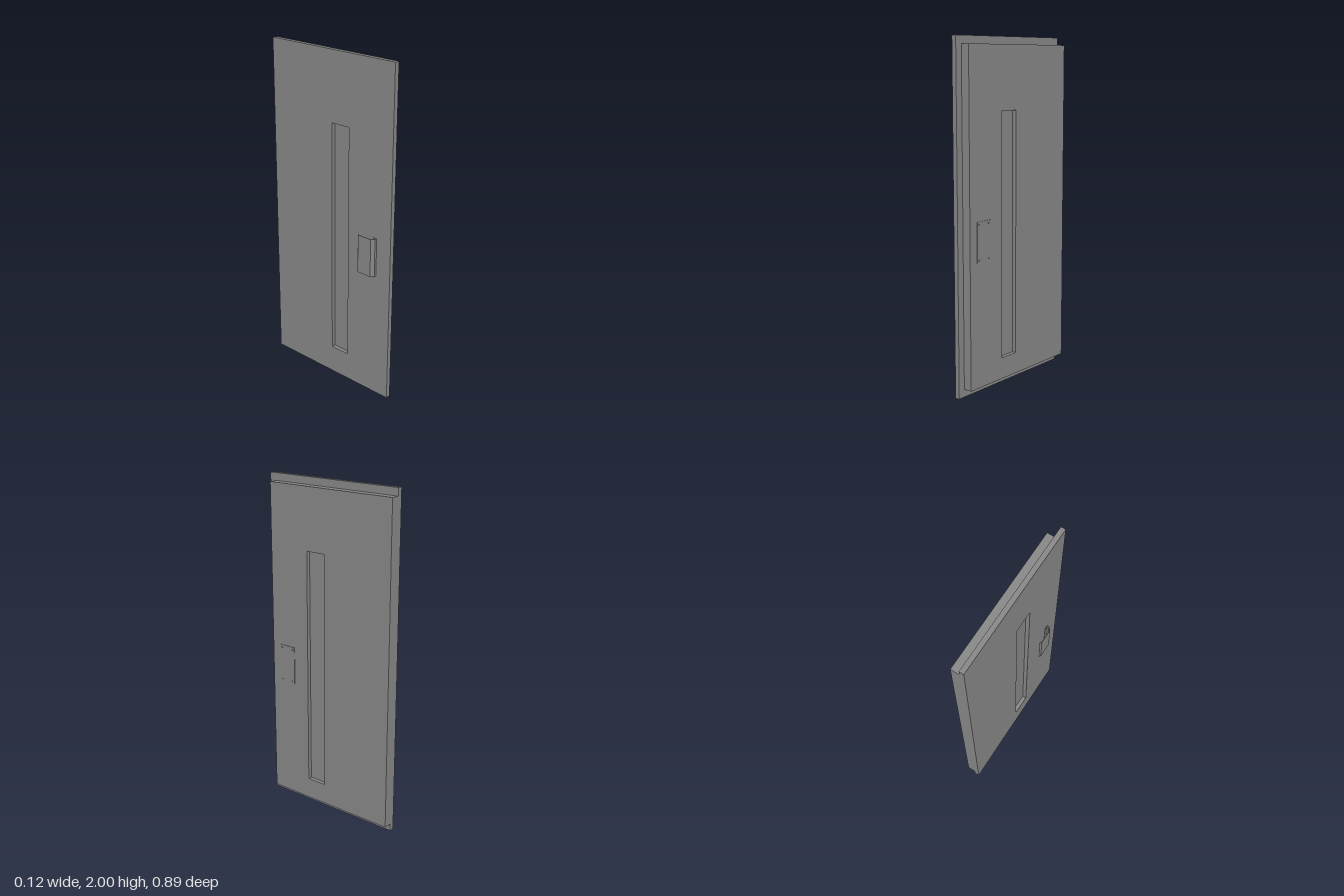
import * as THREE from 'three';

const grey = new THREE.MeshStandardMaterial({ color: 0x878787 });

// window opening shared by both door layers (z and y limits)
const SLOT = { z0: 0.01, z1: 0.135, y0: 0.17, y1: 1.592 };

function add(group, name, geometry) {
  const mesh = new THREE.Mesh(geometry, grey);
  mesh.name = name;
  group.add(mesh);
}

function box(x0, x1, y0, y1, z0, z1) {
  return new THREE.BoxGeometry(x1 - x0, y1 - y0, z1 - z0)
    .translate((x0 + x1) / 2, (y0 + y1) / 2, (z0 + z1) / 2);
}

// rectangle outline with softened corners of radius r
function rect(target, z0, z1, y0, y1, r = 0) {
  target.moveTo(z0 + r, y0);
  target.lineTo(z1 - r, y0);
  if (r) target.quadraticCurveTo(z1, y0, z1, y0 + r);
  target.lineTo(z1, y1 - r);
  if (r) target.quadraticCurveTo(z1, y1, z1 - r, y1);
  target.lineTo(z0 + r, y1);
  if (r) target.quadraticCurveTo(z0, y1, z0, y1 - r);
  target.lineTo(z0, y0 + r);
  if (r) target.quadraticCurveTo(z0, y0, z0 + r, y0);
  return target;
}

// upright slab spanning x0..x1 with the window slot cut through
function slottedSlab(x0, x1, z0, z1, y0, y1) {
  const shape = rect(new THREE.Shape(), z0, z1, y0, y1);
  shape.holes.push(rect(new THREE.Path(), SLOT.z0, SLOT.z1, SLOT.y0, SLOT.y1, 0.003));
  return new THREE.ExtrudeGeometry(shape, { depth: x1 - x0, bevelEnabled: false, curveSegments: 3 })
    .rotateY(-Math.PI / 2).translate(x1, 0, 0);
}

// sheet bent along a path of [x, z] points, offset sideways by t with mitred corners
function bentSheet(path, t, y0, y1) {
  const pts = path.map(([x, z]) => new THREE.Vector2(x, -z));
  const normal = (a, b) => {
    const d = b.clone().sub(a).normalize();
    return new THREE.Vector2(-d.y, d.x);
  };
  const inner = pts.map((p, i) => {
    const n0 = normal(pts[Math.max(i - 1, 0)], pts[Math.max(i, 1)]);
    const n1 = i < pts.length - 1 ? normal(p, pts[i + 1]) : n0;
    const m = n0.clone().add(n1);
    return p.clone().addScaledVector(m, t / (1 + n0.dot(n1)));
  });
  const shape = new THREE.Shape([...pts, ...inner.reverse()]);
  return new THREE.ExtrudeGeometry(shape, { depth: y1 - y0, bevelEnabled: false })
    .rotateX(-Math.PI / 2).translate(0, y0, 0);
}

// domed screw head pointing along +x (dir 1) or -x (dir -1)
function screwHead(x, y, z, dir) {
  return new THREE.SphereGeometry(0.004, 12, 6, 0, Math.PI * 2, 0, Math.PI / 2)
    .rotateZ(-dir * Math.PI / 2).translate(x, y, z);
}

export function createModel() {
  const door = new THREE.Group();
  door.name = 'door';

  // outer leaf, and the smaller inner leaf that forms the rebate
  add(door, 'outerLeaf', slottedSlab(-0.028, 0, -0.447, 0.447, 0, 2));
  add(door, 'innerLeaf', slottedSlab(0, 0.051, -0.447, 0.404, 0.045, 1.956));

  // glazing set back from both faces
  add(door, 'windowPane', box(-0.004, 0.027, SLOT.y0, SLOT.y1, SLOT.z0, SLOT.z1));

  // bent sheet pull handle on the outer face
  const handle = new THREE.Group();
  handle.name = 'pullHandle';
  const profile = [[-0.051, 0.229], [-0.059, 0.237], [-0.059, 0.33],
    [-0.042, 0.347], [-0.028, 0.347], [-0.028, 0.32]];
  add(handle, 'handleSheet', bentSheet(profile, 0.003, 0.767, 0.997));
  door.add(handle);

  // flat backing plate on the inner face
  const plate = new THREE.Group();
  plate.name = 'backingPlate';
  add(plate, 'plateSheet', box(0.051, 0.0545, 0.767, 0.997, 0.237, 0.347));
  door.add(plate);

  // screws
  for (const y of [0.78, 0.982]) {
    add(handle, 'handleScrew', screwHead(-0.031, y, 0.332, -1));
    for (const z of [0.253, 0.332]) add(plate, 'plateScrew', screwHead(0.0545, y, z, 1));
  }
  return door;
}
